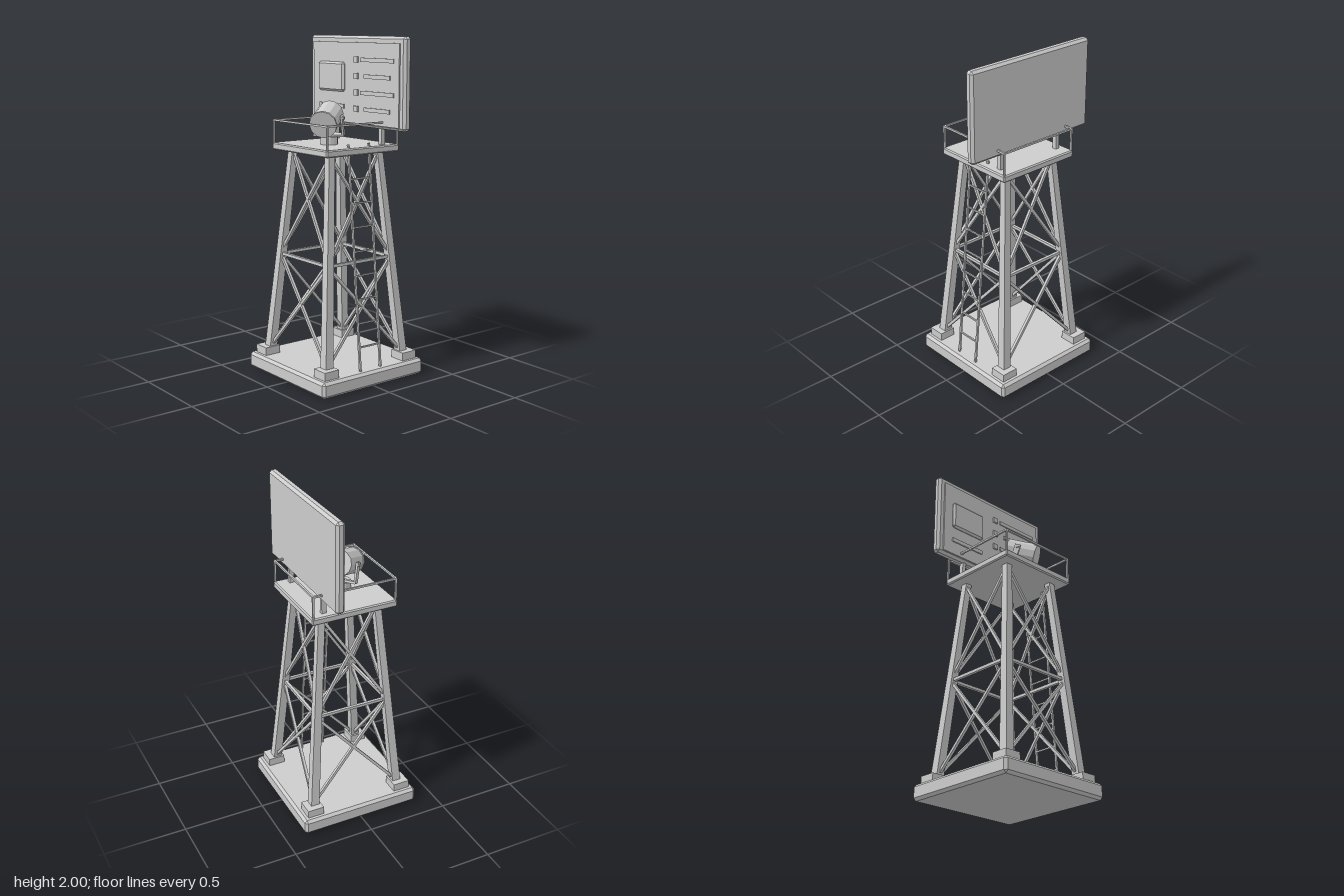
import * as THREE from 'three';
import { ConvexGeometry } from 'three/addons/geometries/ConvexGeometry.js';

const grey = new THREE.MeshStandardMaterial({ color: 0xcccccc });
grey.name = 'grey';

const V = (x, y, z) => new THREE.Vector3(x, y, z);

function add(parent, name, geometry, x = 0, y = 0, z = 0) {
  const mesh = new THREE.Mesh(geometry, grey);
  mesh.name = name;
  mesh.position.set(x, y, z);
  parent.add(mesh);
  return mesh;
}

// Box given by its limits on each axis
function box(parent, name, [x0, x1], [y0, y1], [z0, z1]) {
  return add(parent, name, new THREE.BoxGeometry(x1 - x0, y1 - y0, z1 - z0),
    (x0 + x1) / 2, (y0 + y1) / 2, (z0 + z1) / 2);
}

// Box with every edge cut at 45 degrees
function chamferBox(parent, name, [x0, x1], [y0, y1], [z0, z1], c) {
  const hx = (x1 - x0) / 2, hy = (y1 - y0) / 2, hz = (z1 - z0) / 2;
  const points = [];
  for (const i of [-1, 1]) for (const j of [-1, 1]) for (const k of [-1, 1]) {
    points.push(V(i * hx, j * (hy - c), k * (hz - c)));
    points.push(V(i * (hx - c), j * hy, k * (hz - c)));
    points.push(V(i * (hx - c), j * (hy - c), k * hz));
  }
  return add(parent, name, new ConvexGeometry(points), (x0 + x1) / 2, (y0 + y1) / 2, (z0 + z1) / 2);
}

// Square bar from a to b, optionally tapered
function bar(parent, name, a, b, w0, w1 = w0) {
  const geometry = new THREE.CylinderGeometry(w1 * Math.SQRT1_2, w0 * Math.SQRT1_2, a.distanceTo(b), 4)
    .rotateY(Math.PI / 4).toNonIndexed();
  geometry.computeVertexNormals();
  const mesh = add(parent, name, geometry);
  mesh.position.copy(a).lerp(b, 0.5);
  mesh.quaternion.setFromUnitVectors(V(0, 1, 0), b.clone().sub(a).normalize());
  return mesh;
}

function group(parent, name) {
  const g = new THREE.Group();
  g.name = name;
  parent.add(g);
  return g;
}

// Distance of a leg's axis from the centre at height y
const legAt = (y) => 0.281 - 0.0845 * (y - 0.1);

function buildTower(model) {
  const tower = group(model, 'tower');
  chamferBox(tower, 'base', [-0.375, 0.375], [0, 0.095], [-0.375, 0.375], 0.016);
  for (const i of [-1, 1]) for (const k of [-1, 1]) {
    add(tower, 'footing', new THREE.BoxGeometry(0.102, 0.05, 0.102), i * 0.291, 0.118, k * 0.291);
    const p = legAt(0.1), q = legAt(1.35);
    bar(tower, 'leg', V(i * p, 0.1, k * p), V(i * q, 1.35, k * q), 0.053, 0.041);
  }
  // Same bracing on all four sides
  for (let n = 0; n < 4; n++) {
    const side = group(tower, 'sideBracing');
    side.rotation.y = n * Math.PI / 2;
    const at = (s, y) => V(s * legAt(y), y, legAt(y));
    bar(side, 'crossbeam', at(-1, 0.717), at(1, 0.717), 0.018);
    for (const s of [-1, 1]) {
      bar(side, 'lowerBrace', at(-s, 0.14), at(s, 0.71), 0.017);
      bar(side, 'upperBrace', at(-s, 0.73), at(s, 1.335), 0.017);
    }
  }
}

function buildLadder(model) {
  const ladder = group(model, 'ladder');
  const xAt = (y) => 0.331 - 0.0895 * (y - 0.09);
  for (const z of [-0.075, 0.075])
    bar(ladder, 'ladderRail', V(xAt(0.09), 0.09, z), V(xAt(1.398), 1.398, z), 0.012);
  for (let n = 0; n < 8; n++) {
    const y = 0.233 + n * 0.1385;
    bar(ladder, 'rung', V(xAt(y), y, -0.075), V(xAt(y), y, 0.075), 0.009);
  }
}

function buildPlatform(model) {
  const platform = group(model, 'platform');
  chamferBox(platform, 'deck', [-0.265, 0.265], [1.34, 1.382], [-0.265, 0.265], 0.007);
  for (let n = 0; n < 4; n++) {
    const side = group(platform, 'railing');
    side.rotation.y = n * Math.PI / 2;
    box(side, 'handrail', [-0.261, 0.261], [1.508, 1.519], [0.25, 0.261]);
    box(side, 'railPost', [0.25, 0.261], [1.375, 1.515], [0.25, 0.261]);
  }
}

function buildSign(model) {
  const sign = group(model, 'sign');
  for (const x of [-0.212, 0.212])
    box(sign, 'signPost', [x - 0.012, x + 0.012], [1.375, 1.5], [-0.189, -0.161]);
  chamferBox(sign, 'signBoard', [-0.434, 0.434], [1.472, 2], [-0.203, -0.149], 0.015);
  box(sign, 'signPanel', [-0.395, 0.395], [1.49, 1.962], [-0.155, -0.141]);
  chamferBox(sign, 'screen', [-0.332, -0.088], [1.67, 1.845], [-0.155, -0.125], 0.012);
  box(sign, 'captionBar', [-0.33, -0.09], [1.572, 1.597], [-0.145, -0.134]);
  // Rows of bullet squares and bars
  for (let n = 0; n < 4; n++) {
    const y = 1.863 - n * 0.0955, inset = n % 2 ? 0.032 : 0;
    box(sign, 'bullet', [0.005, 0.038], [y - 0.017, y + 0.017], [-0.145, -0.131]);
    box(sign, 'lineBar', [0.063 + inset, 0.353 - inset], [y - 0.012, y + 0.012], [-0.145, -0.134]);
  }
}

function buildLamp(model) {
  const flatCylinder = (r, length, sides) => {
    const geometry = new THREE.CylinderGeometry(r, r, length, sides).toNonIndexed();
    geometry.computeVertexNormals();
    return geometry;
  };
  const lamp = group(model, 'spotlight');
  add(lamp, 'lampPedestal', flatCylinder(0.05, 0.05, 12), 0.02, 1.403, 0.06);

  // Barrel and yoke turn together about the pivot
  const head = group(lamp, 'lampHead');
  head.position.set(0.024, 1.537, 0.075);
  head.rotation.set(0.3, 0.66, 0, 'YXZ');
  add(head, 'lampBarrel', flatCylinder(0.077, 0.18, 12).rotateX(Math.PI / 2), 0, 0, 0.018);
  add(head, 'lampRim', flatCylinder(0.081, 0.014, 12).rotateX(Math.PI / 2), 0, 0, 0.104);
  box(head, 'yokeBase', [-0.09, 0.09], [-0.112, -0.098], [-0.019, 0.019]);
  for (const s of [-1, 1]) {
    add(head, 'yokeArm', new THREE.BoxGeometry(0.012, 0.12, 0.034), s * 0.086, -0.046, 0);
    add(head, 'pivotKnob', flatCylinder(0.012, 0.03, 8).rotateZ(Math.PI / 2), s * 0.084, 0, 0);
  }
}

export function createModel() {
  const model = new THREE.Group();
  model.name = 'signTower';
  buildTower(model);
  buildLadder(model);
  buildPlatform(model);
  buildSign(model);
  buildLamp(model);
  return model;
}
